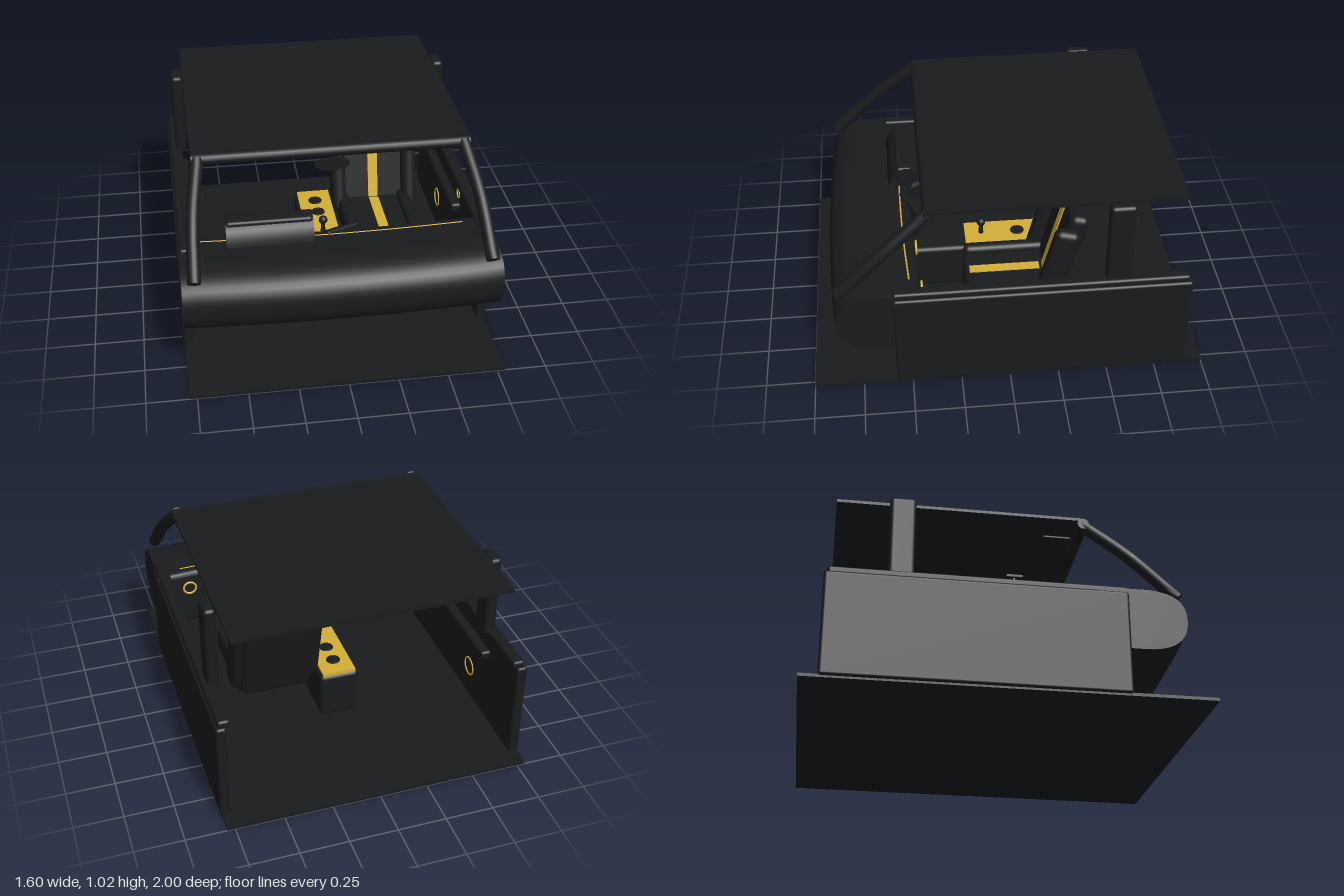
import * as THREE from 'three';
import { RoundedBoxGeometry } from 'three/addons/geometries/RoundedBoxGeometry.js';
import { toCreasedNormals } from 'three/addons/utils/BufferGeometryUtils.js';

const dark = new THREE.MeshStandardMaterial({ color: 0x1a1b1d });
const gold = new THREE.MeshStandardMaterial({ color: 0xd4af37 });
const silver = new THREE.MeshStandardMaterial({ color: 0xcccccc });
const V = (x, y, z) => new THREE.Vector3(x, y, z);

function add(parent, name, geo, mat = dark, pos = [0, 0, 0], rot = [0, 0, 0]) {
  const m = new THREE.Mesh(geo, mat);
  m.name = name;
  m.position.set(...pos);
  m.rotation.set(...rot);
  parent.add(m);
  return m;
}

// Box given by its min/max extents, rounded when r > 0
function box(parent, name, [x0, x1], [y0, y1], [z0, z1], r = 0, mat = dark) {
  const s = [x1 - x0, y1 - y0, z1 - z0];
  const geo = r ? new RoundedBoxGeometry(...s, 3, r) : new THREE.BoxGeometry(...s);
  return add(parent, name, geo, mat, [(x0 + x1) / 2, (y0 + y1) / 2, (z0 + z1) / 2]);
}

function group(parent, name) {
  const g = new THREE.Group();
  g.name = name;
  parent.add(g);
  return g;
}

// Dashboard: rounded side profile swept across the width, ends bowed back
function dashboard(parent) {
  const g = group(parent, 'dashboard');
  const s = new THREE.Shape();
  s.moveTo(0.46, 0.27);
  s.lineTo(0.46, 0.54);
  s.quadraticCurveTo(0.46, 0.575, 0.5, 0.575);
  s.lineTo(0.7, 0.575);
  s.bezierCurveTo(0.84, 0.57, 0.9, 0.52, 0.9, 0.42);
  s.bezierCurveTo(0.9, 0.3, 0.82, 0.25, 0.68, 0.25);
  s.lineTo(0.48, 0.25);
  s.closePath();
  const geo = new THREE.ExtrudeGeometry(s, { depth: 1.58, steps: 20, bevelEnabled: false, curveSegments: 10 });
  geo.rotateY(-Math.PI / 2).translate(0.79, 0, 0);
  const p = geo.attributes.position;
  const bow = x => 0.03 * (x / 0.79) ** 2;
  for (let i = 0; i < p.count; i++) p.setZ(i, p.getZ(i) - bow(p.getX(i)));
  add(g, 'dashboardBody', toCreasedNormals(geo, 0.6));

  // Thin trim line following the bow
  const pts = [-0.68, -0.34, 0, 0.34, 0.66].map(x => V(x, 0.573, 0.515 - bow(x)));
  add(g, 'dashboardTrim', new THREE.TubeGeometry(new THREE.CatmullRomCurve3(pts), 24, 0.005, 6), gold);

  // Instrument binnacle under a curved hood
  box(g, 'instrumentBox', [-0.55, -0.115], [0.55, 0.69], [0.445, 0.525], 0.015);
  const hood = new THREE.Shape();
  hood.moveTo(0.575, 0.57);
  hood.bezierCurveTo(0.56, 0.67, 0.49, 0.71, 0.415, 0.67);
  hood.lineTo(0.415, 0.66);
  hood.bezierCurveTo(0.49, 0.69, 0.54, 0.66, 0.56, 0.57);
  hood.closePath();
  const hoodGeo = new THREE.ExtrudeGeometry(hood, { depth: 0.44, bevelEnabled: false });
  hoodGeo.rotateY(-Math.PI / 2).translate(-0.112, 0, 0);
  add(g, 'instrumentHood', toCreasedNormals(hoodGeo, 0.6));

  // Centre screen, turned to the driver
  add(g, 'centreScreen', new RoundedBoxGeometry(0.2, 0.16, 0.035, 2, 0.01), dark, [0.04, 0.5, 0.47], [-0.2, 0.52, 0]);
  for (const x of [-0.62, 0.3, 0.62])
    add(g, 'airVent', new THREE.TorusGeometry(0.035, 0.006, 8, 24), gold, [x, 0.48, 0.45 - bow(x)]);
}

function steeringWheel(parent) {
  const w = group(parent, 'steeringWheel');
  w.position.set(-0.33, 0.45, 0.33);
  w.rotation.x = 0.35;
  add(w, 'wheelRim', new THREE.TorusGeometry(0.115, 0.015, 10, 32));
  add(w, 'wheelHub', new THREE.CylinderGeometry(0.045, 0.045, 0.035, 24), dark, [0, 0, 0], [Math.PI / 2, 0, 0]);
  add(w, 'hubCap', new THREE.CylinderGeometry(0.022, 0.022, 0.01, 20), gold, [0, 0, -0.02], [Math.PI / 2, 0, 0]);
  for (const a of [0, Math.PI, -Math.PI / 2])
    add(w, 'wheelSpoke', new THREE.BoxGeometry(0.08, 0.028, 0.015), dark,
      [0.075 * Math.cos(a), 0.075 * Math.sin(a), 0], [0, 0, a]);
  add(w, 'topMarker', new THREE.BoxGeometry(0.025, 0.034, 0.034), gold, [0, 0.115, 0]);
  add(w, 'wheelButtons', new THREE.BoxGeometry(0.03, 0.018, 0.008), silver, [0.06, 0, -0.01]);
  add(w, 'steeringColumn', new THREE.CylinderGeometry(0.025, 0.03, 0.17, 16), dark, [0, 0, 0.09], [Math.PI / 2, 0, 0]);
}

function seat(parent) {
  const g = group(parent, 'seat');
  g.position.x = 0.33;
  box(g, 'seatCushion', [-0.15, 0.15], [0.2, 0.33], [-0.26, 0.2], 0.035);
  box(g, 'cushionStripe', [-0.027, 0.027], [0.3, 0.335], [-0.2, 0.17], 0, gold);
  const back = group(g, 'seatBack');
  back.position.set(0, 0.25, -0.2);
  back.rotation.x = -0.25;
  box(back, 'backrest', [-0.19, 0.19], [0, 0.55], [-0.1, 0.0], 0.035);
  box(back, 'backStripe', [-0.027, 0.027], [0.04, 0.535], [-0.02, 0.006], 0, gold);
  box(back, 'headrest', [-0.105, 0.105], [0.555, 0.685], [-0.075, 0.01], 0.03);
  for (const s of [-1, 1]) {
    add(back, 'headrestPost', new THREE.CylinderGeometry(0.008, 0.008, 0.08, 8), silver, [s * 0.05, 0.55, -0.04]);
    add(back, 'backBolster', new RoundedBoxGeometry(0.08, 0.46, 0.13, 3, 0.035), dark, [s * 0.2, 0.25, 0.0]);
    add(g, 'cushionBolster', new RoundedBoxGeometry(0.07, 0.14, 0.44, 3, 0.03), dark, [s * 0.17, 0.29, -0.03]);
  }
}

function console_(parent) {
  const g = group(parent, 'centreConsole');
  box(g, 'consoleBody', [-0.107, 0.107], [0.04, 0.3], [-0.36, 0.46], 0.025);
  box(g, 'consoleTopPanel', [-0.09, 0.09], [0.29, 0.312], [-0.35, 0.17], 0, gold);
  for (const z of [-0.24, -0.12]) {
    add(g, 'cupHolder', new THREE.CylinderGeometry(0.034, 0.034, 0.004, 24), dark, [0, 0.313, z]);
    add(g, 'cupHolderRim', new THREE.TorusGeometry(0.034, 0.004, 6, 24), dark, [0, 0.314, z], [Math.PI / 2, 0, 0]);
  }
  add(g, 'shiftLever', new THREE.CylinderGeometry(0.01, 0.014, 0.08, 12), dark, [0, 0.34, 0.08]);
  add(g, 'shiftKnob', new THREE.SphereGeometry(0.024, 16, 12), dark, [0, 0.385, 0.08]);
}

// Door, pillars and trim of one side (s = 1 or -1)
function side(parent, s) {
  const g = group(parent, s > 0 ? 'leftSide' : 'rightSide');
  const span = (a, b) => (s > 0 ? [a, b] : [-b, -a]);
  box(g, 'doorPanel', span(0.745, 0.8), [0.01, 0.555], [-0.91, 0.58], 0.015);
  box(g, 'doorSill', span(0.725, 0.788), [0.545, 0.588], [-0.895, 0.58], 0.015);
  box(g, 'armrest', span(0.695, 0.755), [0.4, 0.45], [-0.6, 0.13], 0.015);
  box(g, 'rearPillar', span(0.7, 0.762), [0.56, 1.018], [-0.605, -0.475], 0.02);
  add(g, 'speakerRing', new THREE.TorusGeometry(0.05, 0.005, 8, 32), gold, [s * 0.744, 0.195, -0.372], [0, Math.PI / 2, 0]);
  add(g, 'doorHandle', new THREE.TorusGeometry(0.025, 0.005, 8, 20), gold, [s * 0.744, 0.495, 0.09], [0, Math.PI / 2, 0]);

  // Windscreen pillar: rounded section along a gently bent path
  const path = new THREE.CatmullRomCurve3([V(s * 0.728, 0.57, 0.848), V(s * 0.71, 0.8, 0.61), V(s * 0.668, 0.99, 0.385)]);
  const section = new THREE.Shape().absarc(0, 0, 0.033, 0, Math.PI * 2);
  const geo = new THREE.ExtrudeGeometry(section, { steps: 16, extrudePath: path, curveSegments: 10 });
  add(g, 'windscreenPillar', toCreasedNormals(geo, 0.8));

  // Sun visor
  add(g, 'sunVisor', new RoundedBoxGeometry(0.4, 0.018, 0.15, 2, 0.008), dark, [s * 0.36, 0.978, 0.275]);
}

export function createModel() {
  const model = new THREE.Group();
  model.name = 'carCabin';

  box(model, 'floor', [-0.79, 0.79], [0, 0.016], [-1, 1]);
  box(model, 'roof', [-0.7, 0.7], [1.0, 1.016], [-0.87, 0.375]);
  add(model, 'windscreenHeader', new THREE.CylinderGeometry(0.03, 0.03, 1.4, 16), dark, [0, 0.985, 0.385], [0, 0, Math.PI / 2]);

  dashboard(model);
  steeringWheel(model);
  seat(model);
  console_(model);
  for (const s of [-1, 1]) side(model, s);

  // Rear-view mirror
  const mirror = group(model, 'rearViewMirror');
  const disc = add(mirror, 'mirrorDisc', new THREE.CylinderGeometry(1, 1, 1, 32), dark, [0, 0.912, 0.392], [Math.PI / 2, 0, 0]);
  disc.scale.set(0.09, 0.012, 0.036);
  add(mirror, 'mirrorStem', new THREE.CylinderGeometry(0.007, 0.007, 0.06, 8), dark, [0, 0.96, 0.39]);

  // Overhead lamp
  const lamp = group(model, 'overheadLamp');
  box(lamp, 'lampHousing', [-0.1, 0.1], [0.978, 1.002], [0.08, 0.18], 0.008);
  add(lamp, 'lampKnob', new THREE.CylinderGeometry(0.007, 0.01, 0.045, 12), gold, [0, 0.96, 0.13]);
  for (const x of [-0.09, -0.03, 0.03, 0.09])
    add(lamp, 'lampSwitch', new THREE.CylinderGeometry(0.005, 0.005, 0.03, 8), silver, [x, 0.97, 0.13]);

  return model;
}
